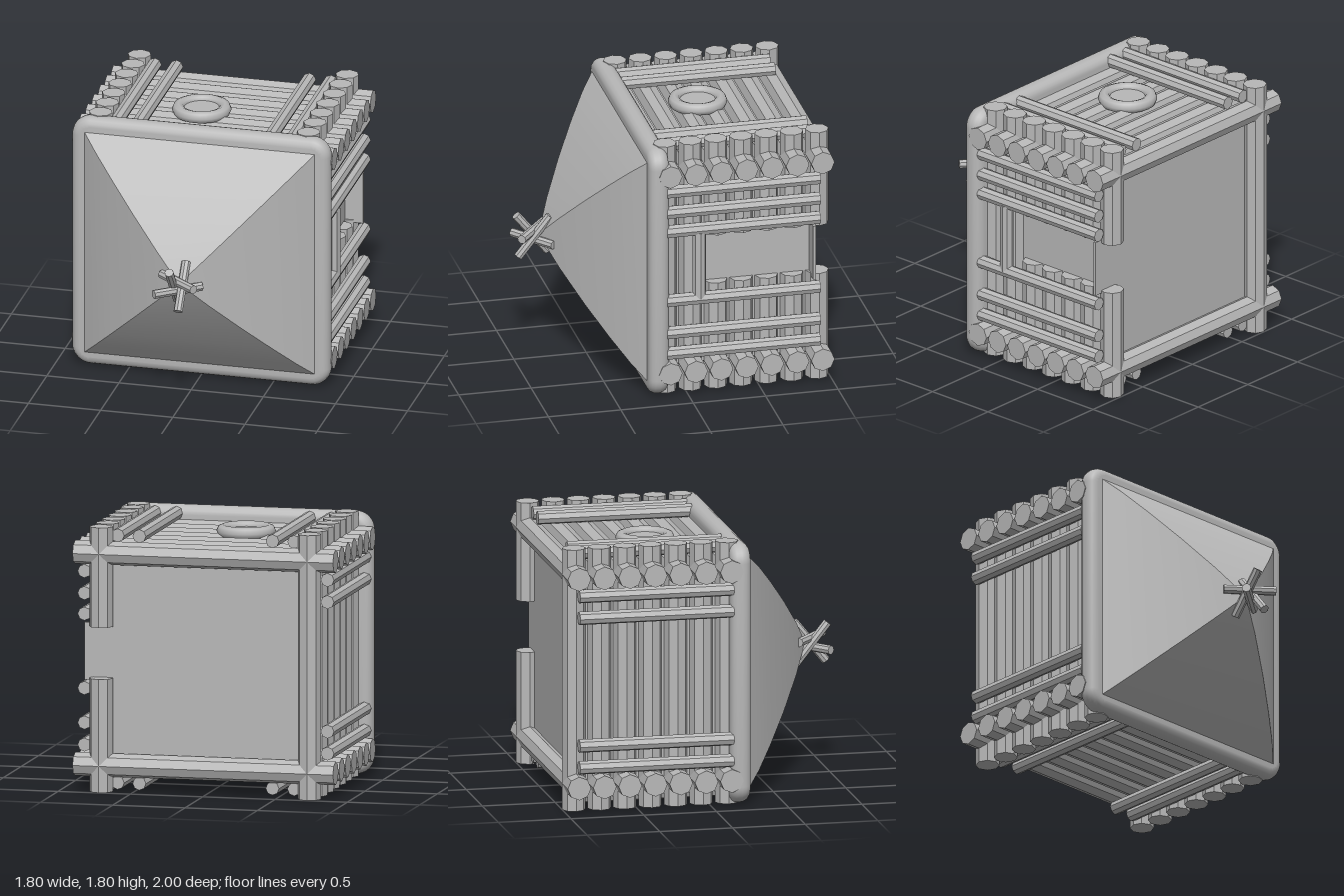
import * as THREE from 'three';
import { toCreasedNormals } from 'three/addons/utils/BufferGeometryUtils.js';

const MID = 0.9; // height of the hut's long axis, which runs along z

export function createModel() {
  const model = new THREE.Group();
  model.name = 'logHut';
  const wood = new THREE.MeshStandardMaterial({ color: 0xb8b8b8 });
  wood.name = 'plainGrey';

  function add(parent, name, geometry) {
    const mesh = new THREE.Mesh(geometry, wood);
    mesh.name = name;
    parent.add(mesh);
    return mesh;
  }
  function group(name) {
    const g = new THREE.Group();
    g.name = name;
    model.add(g);
    return g;
  }
  // Eight-sided flat-faced log between two points
  function log(parent, name, from, to, radius) {
    const a = new THREE.Vector3(...from), b = new THREE.Vector3(...to);
    const dir = b.clone().sub(a);
    const geo = new THREE.CylinderGeometry(radius, radius, dir.length(), 8).toNonIndexed();
    geo.computeVertexNormals();
    const mesh = add(parent, name, geo);
    mesh.position.copy(a).add(b).multiplyScalar(0.5);
    mesh.quaternion.setFromUnitVectors(new THREE.Vector3(0, 1, 0), dir.normalize());
  }

  // Flat lining behind the logs, with its floor at the back
  const lining = add(model, 'innerWallsAndFloor', new THREE.BoxGeometry(1.44, 1.44, 1.085));
  lining.position.set(0, MID, -0.3425);
  const sill = add(model, 'doorThreshold', new THREE.BoxGeometry(0.14, 0.39, 0.02));
  sill.position.set(0.775, 0.945, -0.875);

  // Interlocking wall logs; the doorway interrupts five on one side
  const walls = group('wallLogs');
  for (let i = 0; i < 7; i++) {
    const z = 0.13 - i * 0.175;
    for (const s of [-1, 1]) {
      log(walls, 'crossLog', [-0.9, MID + s * 0.72, z], [0.9, MID + s * 0.72, z], 0.08);
    }
    log(walls, 'sideLog', [-0.72, 0, z], [-0.72, 1.8, z], 0.08);
    if (i < 2) {
      log(walls, 'sideLog', [0.72, 0, z], [0.72, 1.8, z], 0.08);
    } else {
      log(walls, 'doorSideLog', [0.72, 0, z], [0.72, 0.77, z], 0.08);
      log(walls, 'doorSideLog', [0.72, 1.12, z], [0.72, 1.8, z], 0.08);
    }
  }

  // Slim poles strapped over the four walls
  const poles = group('bracingPoles');
  const brace = (x, y) => log(poles, 'bracePole', [x, y, -0.91], [x, y, 0.15], 0.046);
  for (const x of [-0.61, -0.46, 0.46, 0.61]) {
    brace(x, MID + 0.84);
    brace(x, MID - 0.84);
  }
  for (const y of [1.49, 1.34, 0.46, 0.31]) {
    brace(-0.84, y);
    brace(0.84, y);
  }
  brace(0.84, 1.2);
  brace(0.84, 0.695);
  log(poles, 'doorLintel', [0.84, 0.7, -0.08], [0.84, 1.18, -0.08], 0.046);

  // Round window
  const win = group('roundWindow');
  win.position.set(-0.13, 1.71, -0.3);
  add(win, 'windowRing', new THREE.TorusGeometry(0.157, 0.043, 8, 32)).rotation.x = Math.PI / 2;
  add(win, 'windowPane', new THREE.CylinderGeometry(0.14, 0.14, 0.05, 32)).position.y = -0.015;

  // Rounded eave slab
  const h = 0.835, r = 0.07;
  const shape = new THREE.Shape();
  shape.moveTo(h - r, -h);
  shape.absarc(h - r, -h + r, r, -Math.PI / 2, 0);
  shape.absarc(h - r, h - r, r, 0, Math.PI / 2);
  shape.absarc(-h + r, h - r, r, Math.PI / 2, Math.PI);
  shape.absarc(-h + r, -h + r, r, Math.PI, Math.PI * 1.5);
  shape.closePath();
  const slab = new THREE.ExtrudeGeometry(shape, {
    depth: 0.01, bevelThickness: 0.065, bevelSize: 0.06, bevelSegments: 4, curveSegments: 5,
  });
  add(model, 'roofEave', toCreasedNormals(slab, 0.7)).position.set(0, MID, 0.195);

  // Four gently bulging roof slopes, as [half width, z] stations
  const profile = [[0.81, 0.258], [0.7, 0.36], [0.56, 0.47], [0.38, 0.6], [0.18, 0.73], [0, 0.83]];
  const roof = group('roof');
  roof.position.y = MID;
  for (let side = 0; side < 4; side++) {
    const pos = [], idx = [];
    profile.forEach(([w, z], i) => {
      pos.push(-w, w, z, w, w, z);
      if (i) {
        const a = 2 * i - 2;
        idx.push(a, a + 2, a + 1, a + 1, a + 2, a + 3);
      }
    });
    const geo = new THREE.BufferGeometry();
    geo.setAttribute('position', new THREE.Float32BufferAttribute(pos, 3));
    geo.setIndex(idx);
    geo.computeVertexNormals();
    add(roof, 'roofSlope', geo).rotation.z = side * Math.PI / 2;
  }

  // Crossed sticks at the roof peak
  const peak = group('peakSticks');
  peak.position.set(0, MID, 0.868);
  for (const s of [-1, 1]) {
    const u = 0.138, v = 0.11 * s, o = 0.031 * s;
    log(peak, 'peakStick', [-u, o, -v], [u, o, v], 0.031);
    log(peak, 'peakStick', [o, -u, v], [o, u, -v], 0.031);
  }
  return model;
}
